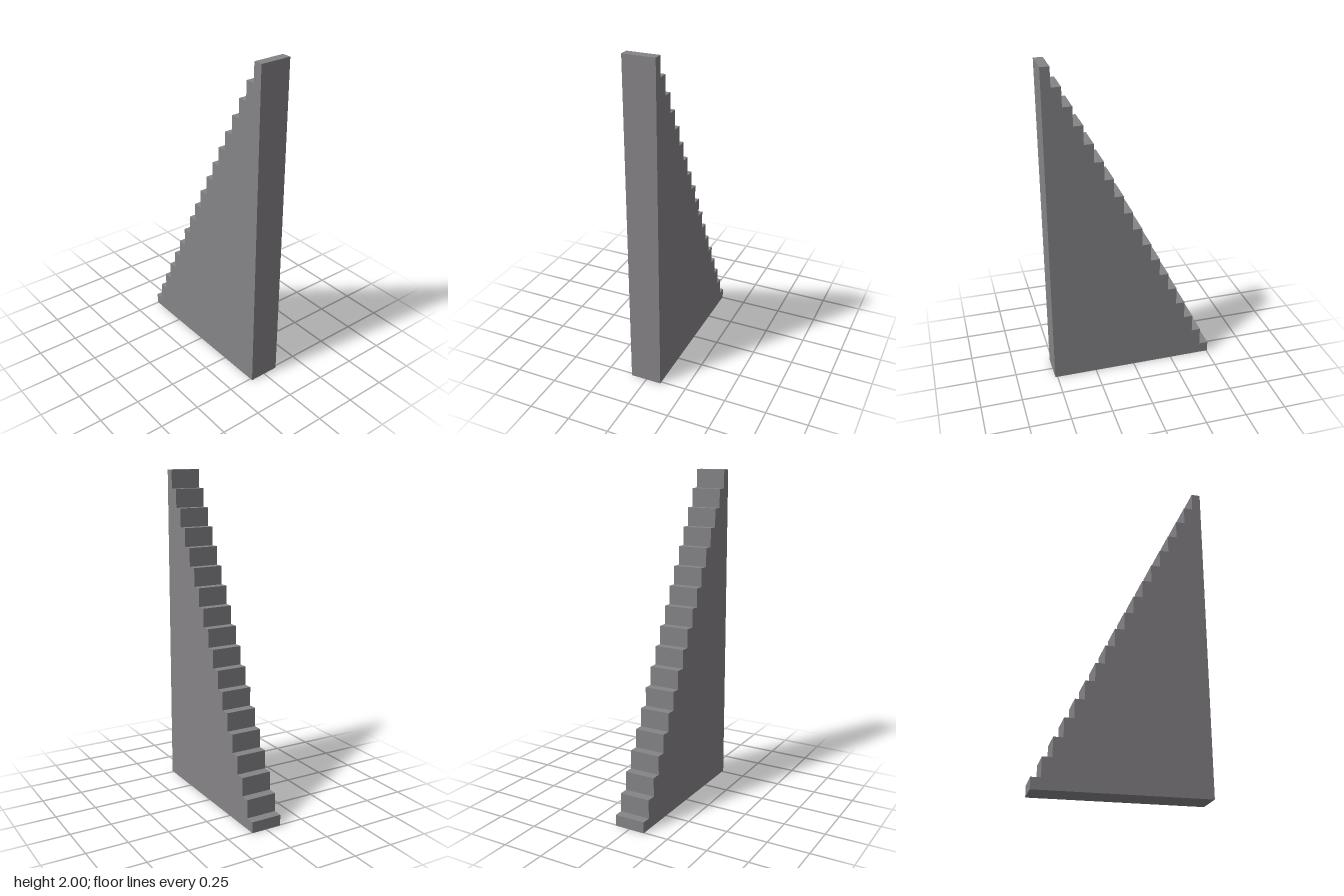
import * as THREE from 'three';

export function createModel() {
  const group = new THREE.Group();
  group.name = 'staircase';
  const stone = new THREE.MeshStandardMaterial({ color: 0x858387 });
  stone.name = 'grey stone';

  // Stepped side profile: shape x becomes the model's z
  const steps = 18, front = 0.515, back = -0.505, width = 0.19;
  const firstRise = 0.067, rise = (2 - firstRise) / (steps - 1), run = 0.0568;
  const profile = new THREE.Shape();
  profile.moveTo(front, 0);
  profile.lineTo(back, 0);
  for (let i = 0; i < steps; i++) {
    const y = firstRise + i * rise;
    profile.lineTo(back + i * run, y);
    profile.lineTo(i < steps - 1 ? back + (i + 1) * run : front, y);
  }
  profile.closePath();

  // Solid flight of steps, climbing from back to front
  const geometry = new THREE.ExtrudeGeometry(profile, { depth: width, bevelEnabled: false });
  geometry.rotateY(-Math.PI / 2);
  geometry.translate(0.093, 0, 0);
  const flight = new THREE.Mesh(geometry, stone);
  flight.name = 'stepFlight';
  group.add(flight);
  return group;
}
